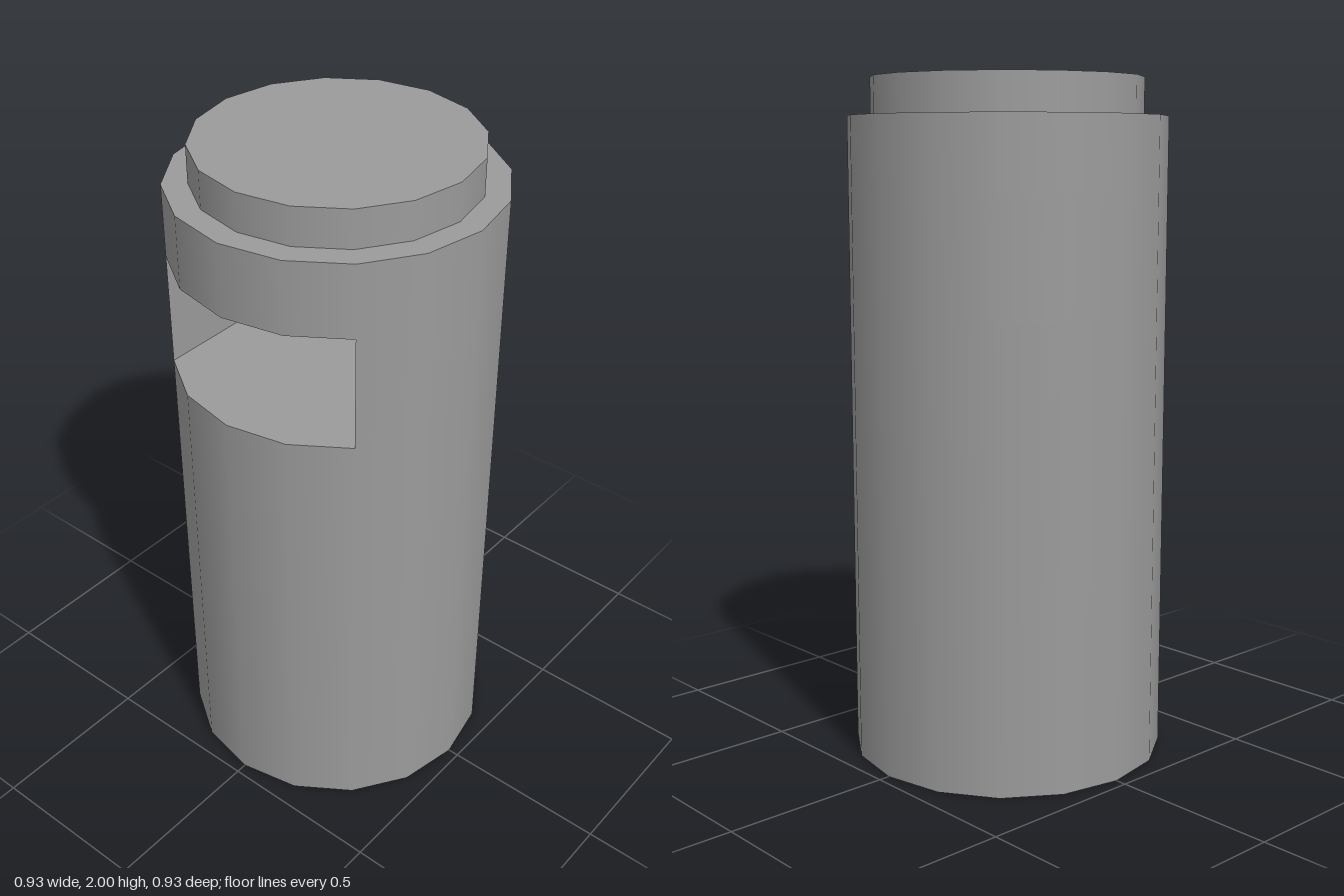
import * as THREE from 'three';

const SIDES = 16;
const R = 0.467;          // body radius
const LID_R = 0.397;      // lid radius
const LID_Z = -0.002;     // the lid sits a touch towards the back
const SHOULDER = 1.89;    // top of the body
const SLOT_LOW = 1.34, SLOT_HIGH = 1.676;
const SLOT_X = R * Math.SQRT1_2; // half width of the slot

export function createModel() {
  const group = new THREE.Group();
  const material = new THREE.MeshStandardMaterial({ color: 0x9b9b9b, side: THREE.DoubleSide });

  function add(name, geometry, x = 0, y = 0, z = 0) {
    const mesh = new THREE.Mesh(geometry, material);
    mesh.name = name;
    mesh.position.set(x, y, z);
    group.add(mesh);
    return mesh;
  }

  // Open band of the round wall between two heights
  function wall(name, radius, low, high, z = 0, sides = SIDES, start = 0) {
    const sweep = sides * Math.PI * 2 / SIDES;
    add(name, new THREE.CylinderGeometry(radius, radius, high - low, sides, 1, true, start, sweep),
      0, (low + high) / 2, z);
  }

  // Body wall, open at the bottom, with a gap for the slot at the front
  wall('lowerBody', R, 0, SLOT_LOW);
  wall('bodyBesideSlot', R, SLOT_LOW, SLOT_HIGH, 0, 12, Math.PI / 4);
  wall('upperBody', R, SLOT_HIGH, SHOULDER);

  // Slot floor and ceiling: the body section trimmed to the slot width
  const outline = [];
  for (const middle of [0, Math.PI]) {
    for (let i = -2; i <= 2; i++) {
      const a = middle + i * Math.PI * 2 / SIDES;
      outline.push(new THREE.Vector2(R * Math.sin(a), R * Math.cos(a)));
    }
  }
  const section = new THREE.Shape(outline);
  add('slotFloor', new THREE.ShapeGeometry(section).rotateX(-Math.PI / 2), 0, SLOT_LOW);
  add('slotCeiling', new THREE.ShapeGeometry(section).rotateX(Math.PI / 2), 0, SLOT_HIGH);

  // Slot side walls, facing inwards
  for (const side of [-1, 1]) {
    const plane = new THREE.PlaneGeometry(SLOT_X * 2, SLOT_HIGH - SLOT_LOW).rotateY(-side * Math.PI / 2);
    add(side > 0 ? 'leftSlotWall' : 'rightSlotWall', plane, side * SLOT_X, (SLOT_LOW + SLOT_HIGH) / 2);
  }

  // Shoulder ring around the lid
  const ring = new THREE.RingGeometry(LID_R - 0.004, R, SIDES).rotateX(-Math.PI / 2);
  add('shoulder', ring, 0, SHOULDER);

  // Raised lid
  wall('lidWall', LID_R, SHOULDER, 2, LID_Z);
  add('lidTop', new THREE.CircleGeometry(LID_R, SIDES).rotateX(-Math.PI / 2), 0, 2, LID_Z);

  return group;
}
